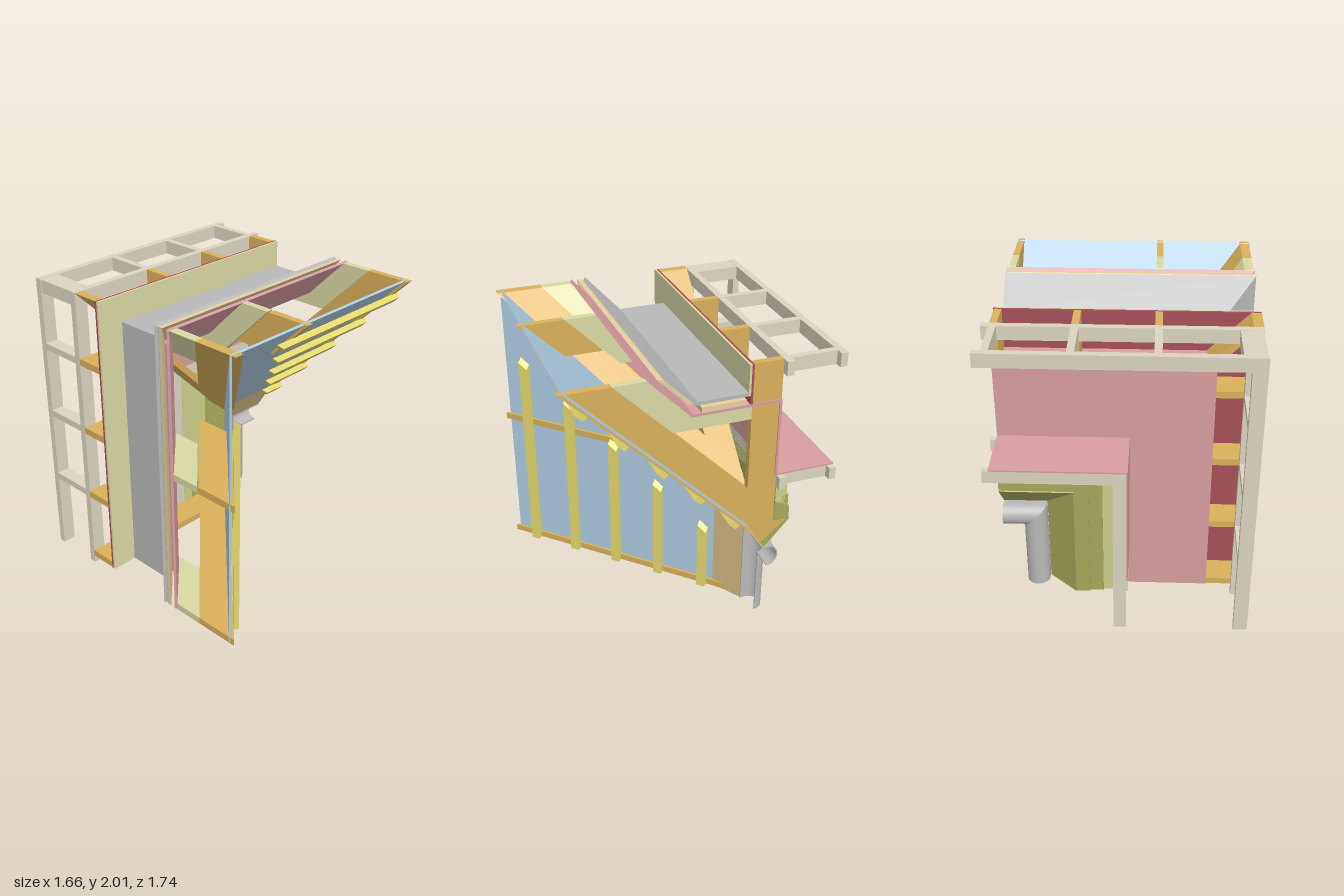
import * as THREE from 'three';
import { toCreasedNormals } from 'three/addons/utils/BufferGeometryUtils.js';

// Profiles are [z, d] points. On the head arm d is the height y; on the jamb arm
// the same profile is turned so that x = M - d. The arms meet in a mitre.
const M = 1.17, RIGHT = 0.78, FOOT = 0.05;
const C = {
  frame: 0xdbd4c0, wood: 0xd9b05a, pale: 0xd9d8a4, blue: 0xadcbe1, tan: 0xd8bd88, red: 0xd79da1,
  darkRed: 0xa8505a, grey: 0xb8b8b8, batten: 0xe6d86c, olive: 0xa5a85a, lightOlive: 0xcdd08a,
};

const rect = (z0, z1, d0, d1) => [[z0, d0], [z1, d0], [z1, d1], [z0, d1]];

// Thin closed outline following an open line of points.
function strip(line, t) {
  const a = [], b = [];
  line.forEach((p, i) => {
    const q = line[Math.max(i - 1, 0)], r = line[Math.min(i + 1, line.length - 1)];
    const n = (u, v) => {
      const x = u[1] - v[1], y = v[0] - u[0], l = Math.hypot(x, y);
      return [x / l, y / l];
    };
    const n1 = i ? n(q, p) : n(p, r), n2 = i < line.length - 1 ? n(p, r) : n1;
    const k = t / 2 / (1 + n1[0] * n2[0] + n1[1] * n2[1]);
    const o = [(n1[0] + n2[0]) * k, (n1[1] + n2[1]) * k];
    a.push([p[0] + o[0], p[1] + o[1]]);
    b.unshift([p[0] - o[0], p[1] - o[1]]);
  });
  return a.concat(b);
}

export function createModel() {
  const model = new THREE.Group();
  const materials = {};
  const material = (color) => (materials[color] ??=
    new THREE.MeshStandardMaterial({ color, side: THREE.DoubleSide }));

  // Extrude a profile, then shear its ends so that each follows its own rule of d.
  function prism(name, color, profile, place, smooth) {
    const shape = new THREE.Shape(profile.map((p) => new THREE.Vector2(p[0], p[1])));
    let geo = new THREE.ExtrudeGeometry(shape, { depth: 1, bevelEnabled: false });
    const pos = geo.attributes.position;
    for (let i = 0; i < pos.count; i++) {
      pos.setXYZ(i, ...place(pos.getX(i), pos.getY(i), pos.getZ(i)));
    }
    geo.deleteAttribute('uv');
    geo.computeVertexNormals();
    if (smooth) geo = toCreasedNormals(geo, 0.6);
    const mesh = new THREE.Mesh(geo, material(color));
    mesh.name = name;
    model.add(mesh);
  }
  // Head piece runs in x between two rules of d; jamb piece runs in y.
  const head = (name, color, profile, from, to, smooth) =>
    prism(name, color, profile, (z, d, t) => [to(d) + (from(d) - to(d)) * t, d, z], smooth);
  const jamb = (name, color, profile, from, to, smooth) =>
    prism(name, color, profile, (z, d, t) => [M - d, to(d) + (from(d) - to(d)) * (1 - (1 - t)), z].map((v) => v), smooth);
  // Both mitred arms; gap holds the ends back from the mitre.
  function arms(name, color, profile, { gap = 0, right = RIGHT, foot = FOOT, smooth = false } = {}) {
    head(name + 'Head', color, profile, (d) => M - d + gap, () => right, smooth);
    jamb(name + 'Jamb', color, profile, () => foot, (d) => d - gap, smooth);
  }
  const headPlate = (name, color, profile, x, w = 0.045) =>
    head(name, color, profile, () => x - w / 2, () => x + w / 2);
  const jambPlate = (name, color, profile, y, w = 0.045) =>
    jamb(name, color, profile, () => y - w / 2, () => y + w / 2);

  // Splayed inner lining and its lower lip
  arms('liningPanel', C.blue, strip([[0.83, 2], [-0.29, 0.88]], 0.014));
  arms('liningLip', C.tan, strip([[-0.29, 0.88], [-0.415, 0.68]], 0.012));

  // Battens across the lining
  [1.855, 1.617, 1.378, 1.14, 0.9].forEach((d, i) => {
    const z = d - 1.112, a = 0.022, b = 0.013;
    arms('batten' + (i + 1), C.batten,
      [[z - a - b, d - a + b], [z - a + b, d - a - b], [z + a + b, d + a - b], [z + a - b, d + a + b]],
      { gap: 0.35 });
  });

  // Triangular trusses: one at each open end and one along the mitre
  const truss = [[0.865, 2], [-0.275, 0.86], [-0.4, 0.72], [-0.585, 0.87], [-0.48, 0.95],
    [-0.48, 2], [-0.29, 2], [-0.29, 1.15], [0.56, 2]];
  const gusset = [[0.56, 2], [0.36, 2], [0.09, 1.73], [-0.29, 1.73], [-0.29, 1.64], [0.2, 1.64]];
  headPlate('endTrussHead', C.wood, truss, 0.75);
  headPlate('endGussetHead', C.pale, gusset, 0.75);
  jambPlate('endTrussJamb', C.wood, truss, 0.075);
  jambPlate('endGussetJamb', C.pale, gusset, 0.075);
  head('mitreTruss', C.wood, truss, (d) => M - d, (d) => M - d + 0.06);
  head('mitreGusset', C.pale, gusset, (d) => M - d, (d) => M - d + 0.06);

  // Short rafters that die into the mitre
  const headRafter = [[0.865, 2], [0.615, 1.75], [0.32, 1.75], [0.57, 2]];
  const jambRafter = [[0.865, 2], [0.265, 1.4], [-0.03, 1.4], [0.57, 2]];
  headPlate('shortRafterHead', C.wood, headRafter, -0.22);
  headPlate('shortGussetHead', C.pale, gusset, -0.22);
  jambPlate('shortRafterJamb', C.wood, jambRafter, 1.05);
  jambPlate('shortGussetJamb', C.pale, gusset, 1.05);

  // Wall studs in the cavity
  [0.27, -0.22].forEach((x) => headPlate('studHead', C.wood, rect(-0.48, -0.29, 1.45, 2), x));
  [0.56, 1.05, 1.54].forEach((y) => jambPlate('studJamb', C.wood, rect(-0.48, -0.29, 1.6, 2), y));

  // Folded membrane, and the boxed reveal behind it
  arms('membrane', C.red,
    strip([[0.345, 2], [0.085, 1.735], [-0.475, 1.735], [-0.475, 1.215]], 0.016));
  arms('revealBox', C.red, rect(-0.87, -0.47, 1.212, 1.222), { foot: 0.39 });
  arms('cavityBoard', C.darkRed, rect(-0.29, -0.276, 1.735, 2));
  arms('cavityFacing', C.pale, rect(-0.276, -0.262, 1.8, 2));

  // Flashing channel with its packing strips
  arms('flashing', C.grey, strip([[-0.262, 1.81], [0.06, 1.81], [0.25, 2]], 0.022));
  arms('slopePacking', 0xe6cfa0, [[0.3, 2], [0.27, 2], [0.08, 1.81], [0.11, 1.81]]);
  arms('flatPacking', 0xe6cfa0, rect(-0.25, 0.03, 1.745, 1.78));

  // Rear ladder frames: outer and inner rails
  [[1.91, 2, 'outer'], [1.13, 1.212, 'inner']].forEach(([d0, d1, part]) => {
    [-0.525, -0.87].forEach((z) =>
      arms(part + 'Rail', C.frame, rect(z, z + 0.045, d0, d1), { right: 0.82, foot: 0 }));
    const rung = rect(-0.825, -0.525, d0, d1);
    (part === 'outer' ? [0.75, 0.27, -0.22] : [0.75, 0.27])
      .forEach((x) => headPlate(part + 'RungHead', C.frame, rung, x));
    (part === 'outer' ? [0.56, 1.05, 1.54] : [0.56])
      .forEach((y) => jambPlate(part + 'RungJamb', C.frame, rung, y));
  });
  head('cornerPlate', C.frame, rect(-0.825, -0.525, 1.91, 1.998), () => -0.825, () => -0.69);

  // Stepped seals around the opening
  arms('splayedSeal', C.olive, strip([[-0.42, 0.685], [-0.585, 0.87]], 0.014));
  arms('sealBlock', C.lightOlive, rect(-0.56, -0.482, 0.9, 1.125));
  arms('sealStep', C.olive, rect(-0.585, -0.482, 0.87, 0.96));
  arms('sealRib', C.olive, rect(-0.572, -0.482, 0.96, 1.05));

  // Half-round trim, open to the front
  const arc = [[-0.41, 0.672]];
  for (let i = 0; i <= 16; i++) {
    const a = Math.PI / 2 + (Math.PI * i) / 16;
    arc.push([-0.45 + 0.072 * Math.cos(a), 0.6 + 0.072 * Math.sin(a)]);
  }
  arms('roundTrim', C.grey, strip(arc, 0.008), { smooth: true });

  return model;
}
